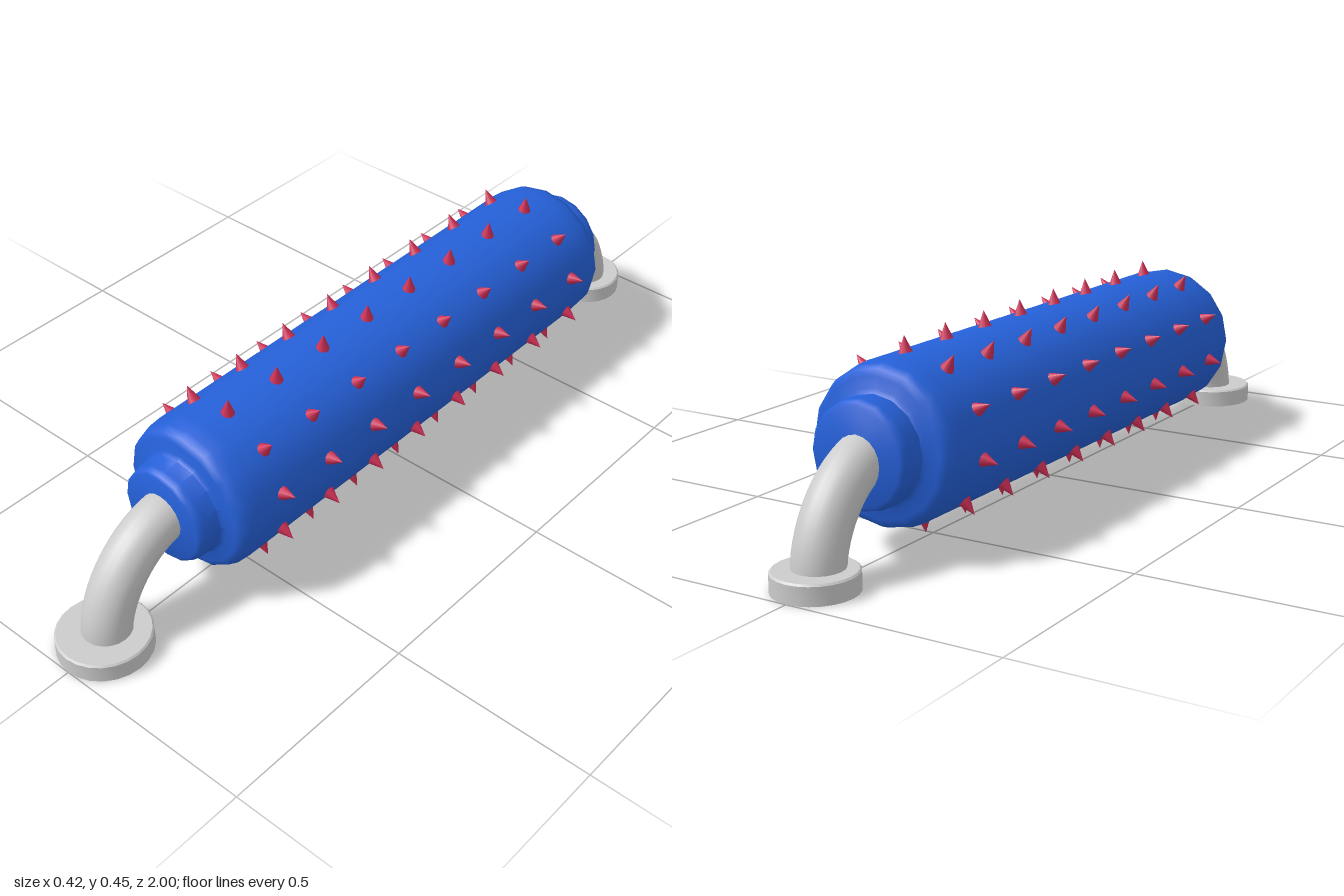
import * as THREE from 'three';
import { toCreasedNormals } from 'three/addons/utils/BufferGeometryUtils.js';

const AXIS_Y = 0.238;

const profile = (pairs) => pairs.map(([r, y]) => new THREE.Vector2(r, y));

// Bent pipe running from inside the roller collar down to the floor flange
function makePipe(zStart, zFoot, y, radius, material) {
  const k = 0.5523, foot = 0.03;
  const bend = new THREE.CubicBezierCurve3(
    new THREE.Vector3(0, y, zStart),
    new THREE.Vector3(0, y, zStart + (zFoot - zStart) * k),
    new THREE.Vector3(0, foot + (y - foot) * (1 - k), zFoot),
    new THREE.Vector3(0, foot, zFoot));
  const pipe = new THREE.Mesh(new THREE.TubeGeometry(bend, 16, radius, 20), material);
  pipe.name = 'bentPipe';
  return pipe;
}

// Shallow cup-shaped flange, open underneath
function makeFlange(z, radius, material) {
  const cup = new THREE.LatheGeometry(profile([
    [radius * 0.88, 0.032], [radius * 0.92, 0], [radius, 0],
    [radius, 0.041], [radius - 0.004, 0.045], [0.04, 0.045],
  ]), 24);
  const flange = new THREE.Mesh(toCreasedNormals(cup, 0.6), material);
  flange.name = 'flange';
  flange.position.z = z;
  return flange;
}

export function createModel() {
  const group = new THREE.Group();
  const blue = new THREE.MeshStandardMaterial({ color: 0x2560d8 });
  const red = new THREE.MeshStandardMaterial({ color: 0xcc2f55 });
  const grey = new THREE.MeshStandardMaterial({ color: 0xcccccc, side: THREE.DoubleSide });

  // Padded roller with a stepped collar at each end
  const rollerGeometry = new THREE.LatheGeometry(profile([
    [0, -0.765], [0.108, -0.765], [0.116, -0.76], [0.12, -0.745], [0.12, -0.702],
    [0.13, -0.695], [0.155, -0.693], [0.17, -0.685], [0.178, -0.665], [0.181, -0.63],
    [0.181, 0.57], [0.178, 0.605], [0.17, 0.625], [0.155, 0.633], [0.13, 0.635],
    [0.12, 0.642], [0.118, 0.68], [0.114, 0.695], [0.106, 0.7], [0, 0.7],
  ]), 16);
  rollerGeometry.rotateX(Math.PI / 2);
  const roller = new THREE.Mesh(toCreasedNormals(rollerGeometry, 0.95), blue);
  roller.name = 'roller';
  roller.position.y = AXIS_Y;
  group.add(roller);

  // Eight rings of ten spikes
  const spikes = new THREE.Group();
  spikes.name = 'spikes';
  const spikeGeometry = new THREE.ConeGeometry(0.021, 0.05, 10);
  spikeGeometry.translate(0, 0.191, 0);
  const angles = [12, 47, 84.5, 119.5, 154.5, 189, 225, 263, 303, 337.5];
  for (let row = 0; row < 8; row++) {
    for (const angle of angles) {
      const spike = new THREE.Mesh(spikeGeometry, red);
      spike.name = 'spike';
      spike.position.set(0, AXIS_Y, 0.503 - row * 0.1525);
      spike.rotation.z = THREE.MathUtils.degToRad(angle - 90);
      spikes.add(spike);
    }
  }
  group.add(spikes);

  // Supports at the front and back
  const front = new THREE.Group();
  front.name = 'frontSupport';
  front.add(makePipe(0.675, 0.884, 0.243, 0.057, grey), makeFlange(0.892, 0.108, grey));
  const back = new THREE.Group();
  back.name = 'backSupport';
  back.add(makePipe(-0.7, -0.897, 0.24, 0.057, grey), makeFlange(-0.907, 0.093, grey));
  group.add(front, back);

  return group;
}
